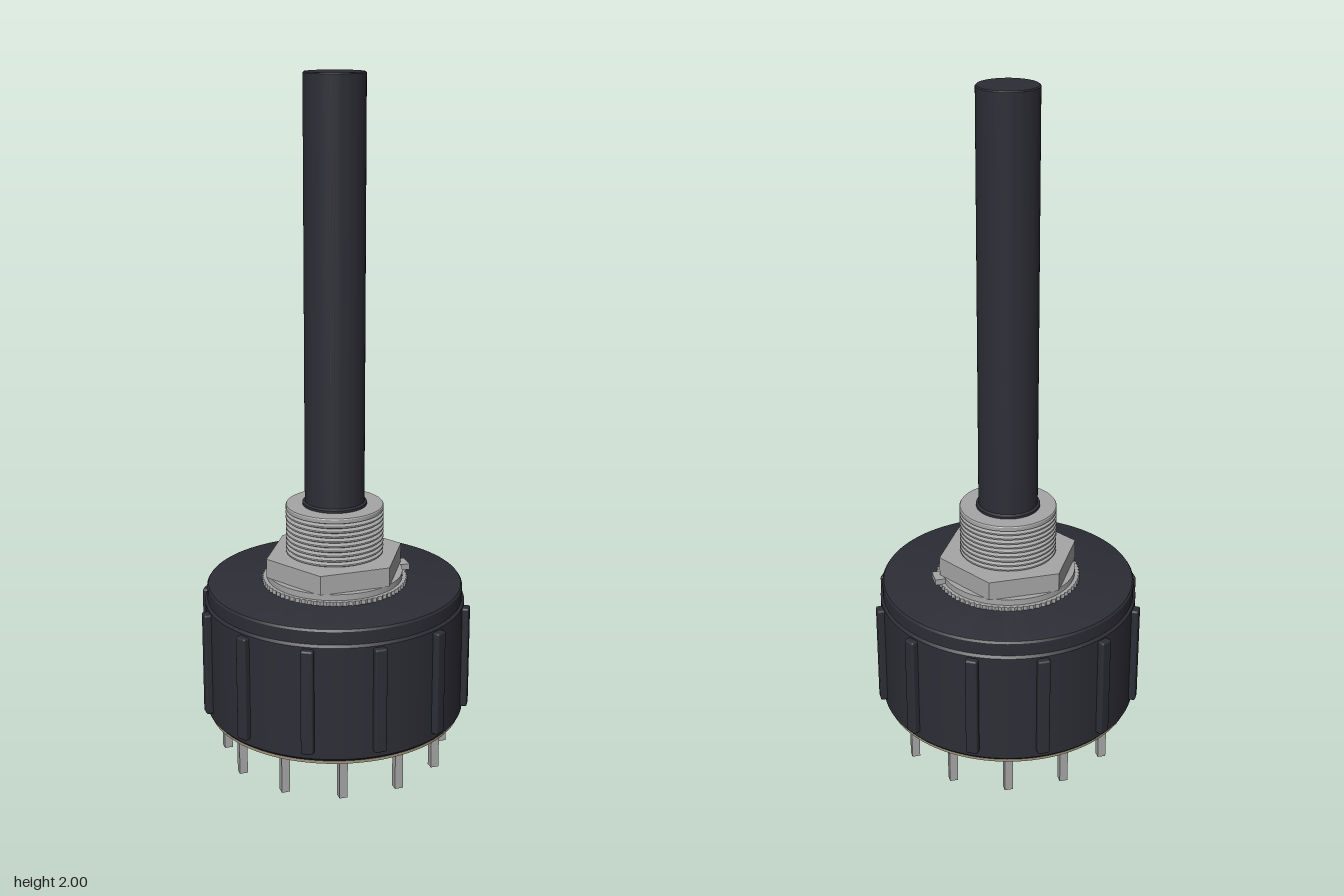
import * as THREE from 'three';
import { toCreasedNormals } from 'three/addons/utils/BufferGeometryUtils.js';
import { RoundedBoxGeometry } from 'three/addons/geometries/RoundedBoxGeometry.js';

const material = (name, color) => {
  const m = new THREE.MeshStandardMaterial({ color });
  m.name = name;
  return m;
};

// Revolved solid from [radius, y] pairs listed from bottom to top
const turned = (points, segments = 72) => toCreasedNormals(
  new THREE.LatheGeometry(points.map(([r, y]) => new THREE.Vector2(r, y)), segments), 0.5);

// Flat plate lying horizontally, its underside at y
const plate = (shape, y, depth) => {
  const g = new THREE.ExtrudeGeometry(shape, { depth, bevelEnabled: false, curveSegments: 48 });
  return g.rotateX(-Math.PI / 2).translate(0, y, 0);
};

// Closed outline with n corners, radius given by a rule
const outline = (n, radius) => new THREE.Shape(Array.from({ length: n }, (_, i) => {
  const a = (i / n) * Math.PI * 2;
  return new THREE.Vector2(Math.cos(a) * radius(i), Math.sin(a) * radius(i));
}));

export function createModel() {
  const plastic = material('dark plastic', 0x2d2d36);
  const metal = material('grey metal', 0xa6a6a6);
  const board = material('tan board', 0xa0957a);

  const model = new THREE.Group();
  model.name = 'rotarySwitch';
  const add = (name, geometry, mat, parent = model) => {
    const mesh = new THREE.Mesh(geometry, mat);
    mesh.name = name;
    parent.add(mesh);
    return mesh;
  };

  // Round housing with a stepped, rounded cap
  add('housing', turned([
    [0, 0.138], [0.376, 0.138], [0.383, 0.146], [0.383, 0.482], [0.376, 0.489],
    [0.376, 0.527], [0.372, 0.533], [0.366, 0.535], [0, 0.535],
  ], 96), plastic);
  add('basePlate', turned([[0, 0.128], [0.374, 0.128], [0.374, 0.138], [0, 0.138]], 96), board);

  // Twelve grip ribs
  const ribs = new THREE.Group();
  ribs.name = 'ribs';
  model.add(ribs);
  for (let i = 0; i < 12; i++) {
    const a = (i * Math.PI) / 6;
    const rib = add('rib', new RoundedBoxGeometry(0.04, 0.312, 0.036, 2, 0.006), plastic, ribs);
    rib.position.set(Math.cos(a) * 0.382, 0.321, Math.sin(a) * 0.382);
    rib.rotation.y = -a;
  }

  // Twelve outer terminals and two common terminals
  const pins = new THREE.Group();
  pins.name = 'pins';
  model.add(pins);
  const pin = (x, z) => add('pin', new THREE.BoxGeometry(0.024, 0.13, 0.024), metal, pins)
    .position.set(x, 0.065, z);
  for (let i = 0; i < 12; i++) {
    const a = ((i + 0.5) * Math.PI) / 6;
    pin(Math.cos(a) * 0.325, Math.sin(a) * 0.325);
  }
  pin(0.083, 0.083);
  pin(-0.083, -0.083);

  // Toothed washer, keyed washer with its tab, and hex nut
  add('toothedWasher', plate(outline(144, (i) => (i % 2 ? 0.209 : 0.215)), 0.535, 0.012), metal);
  add('keyedWasher', plate(outline(72, () => 0.2), 0.547, 0.018), metal);
  add('washerTab', new THREE.BoxGeometry(0.05, 0.018, 0.05), metal).position.set(0.203, 0.554, 0);
  add('hexNut', plate(outline(6, () => 0.209), 0.565, 0.057), metal);

  // Threaded bushing with an open bore
  const thread = [[0.132, 0.56], [0.132, 0.622]];
  const turns = 9, pitch = 0.0145;
  for (let i = 0; i < turns; i++) {
    const y = 0.622 + i * pitch;
    thread.push([0.143, y + pitch * 0.35], [0.143, y + pitch * 0.65], [0.132, y + pitch]);
  }
  thread.push([0.143, 0.757], [0.143, 0.768], [0.141, 0.771], [0.094, 0.771], [0.094, 0.7]);
  add('threadedBushing', turned(thread), metal);

  // Long shaft with a small collar at the bushing mouth
  add('shaftCollar', turned([[0.094, 0.7], [0.094, 0.778], [0.087, 0.782]]), plastic);
  add('shaft', turned([[0, 0.6], [0.087, 0.6], [0.087, 1.997], [0.084, 2], [0, 2]]), plastic);

  return model;
}
